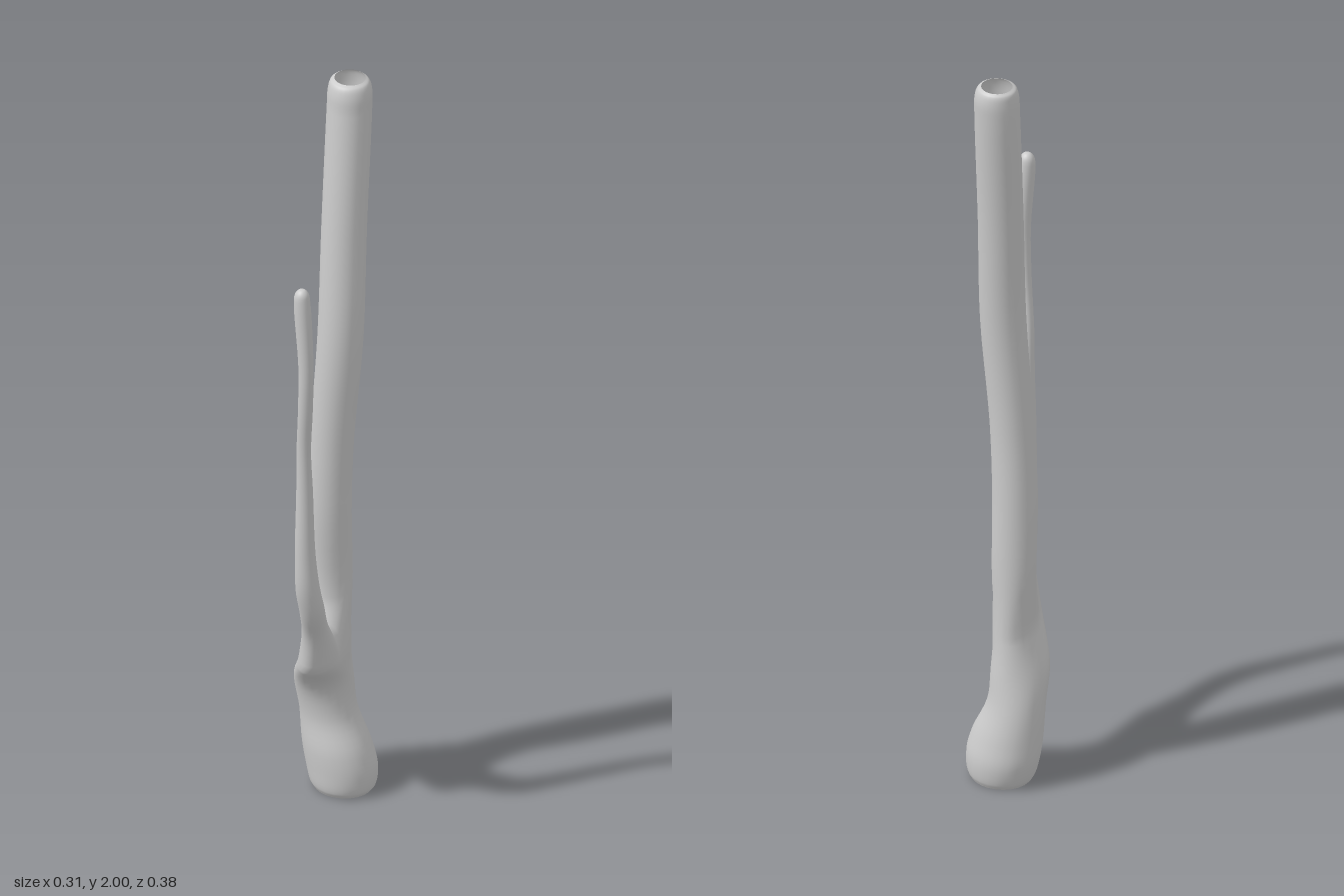
import * as THREE from 'three';
import { mergeVertices } from 'three/addons/utils/BufferGeometryUtils.js';

const N = 24;          // points around each ring
const STEPS = 5;       // smooth steps between rings
const A0 = 0.988;      // heading of the side branch, turning from +x to +z
const FORK = { x: -0.065, y: 0.42, z: -0.065 };

// horizontal ring: y, x range, z range, optional downward tilt towards the branch heading
function ring([y, x0, x1, z0, z1, tilt = 0]) {
  const pts = [];
  for (let i = 0; i < N; i++) {
    const a = (i / N) * Math.PI * 2;
    const rx = (x1 - x0) / 2, rz = (z1 - z0) / 2;
    pts.push(new THREE.Vector3(
      (x0 + x1) / 2 + rx * Math.cos(A0 + a),
      y - tilt * rx * Math.cos(a),
      (z0 + z1) / 2 + rz * Math.sin(A0 + a)));
  }
  return pts;
}

// point at the fork: u along the branch heading, v across it
function forkPoint(u, v, y) {
  const c = Math.cos(A0), s = Math.sin(A0);
  return new THREE.Vector3(FORK.x + u * c - v * s, y, FORK.z + u * s + v * c);
}

// oval where the stem divides, and the saddle arch between the two arms
function forkRings() {
  const oval = [], trunk = [], branch = [];
  for (let i = 0; i < N; i++) {
    const a = (i / N) * Math.PI * 2, c = Math.cos(a), s = Math.sin(a);
    const onBranch = i <= N / 4 || i >= N * 3 / 4;
    const onTrunk = i >= N / 4 && i <= N * 3 / 4;
    const bulge = onTrunk ? 0.05 + 0.022 * Math.abs(c) : 0.05;
    const edge = forkPoint(0.08 + (onTrunk ? 0.14 : 0.095) * c, bulge * s, FORK.y);
    const saddle = forkPoint(0.08, 0.05 * s, FORK.y + 0.085 * Math.abs(c));
    oval.push(edge);
    trunk.push(onTrunk ? edge : saddle);
    branch.push(onBranch ? edge : saddle);
  }
  return { oval, trunk, branch };
}

// skin through the rings, each column following a smooth curve
function loft(rings, positions, indices) {
  const base = positions.length / 3;
  const rows = (rings.length - 1) * STEPS;
  const columns = rings[0].map((_, i) => new THREE.CatmullRomCurve3(rings.map(r => r[i])));
  for (let j = 0; j <= rows; j++) {
    for (let i = 0; i < N; i++) {
      const p = columns[i].getPoint(j / rows);
      positions.push(p.x, p.y, p.z);
      if (j === rows) continue;
      const a = base + j * N + i, b = base + j * N + (i + 1) % N;
      indices.push(a, a + N, b, b, a + N, b + N);
    }
  }
}

export function createModel() {
  const fork = forkRings();
  const positions = [], indices = [];

  // swollen open foot up to the fork
  loft([
    [0.005, -0.13, 0.025, -0.165, -0.02],
    [0.02, -0.14, 0.035, -0.172, -0.012],
    [0.07, -0.155, 0.04, -0.176, -0.005],
    [0.13, -0.16, 0.028, -0.165, 0],
    [0.22, -0.16, -0.01, -0.143, 0],
    [0.32, -0.147, -0.012, -0.13, 0.025],
  ].map(ring).concat([fork.oval]), positions, indices);

  // main stem, open at the top
  loft([fork.trunk].concat([
    [0.57, -0.125, -0.015, -0.12, -0.01],
    [0.8, -0.125, -0.01, -0.115, -0.004],
    [1.0, -0.115, -0.003, -0.116, -0.008],
    [1.3, -0.101, 0.014, -0.134, -0.02],
    [1.6, -0.115, 0, -0.155, -0.043],
    [1.92, -0.134, -0.02, -0.186, -0.074],
    [1.97, -0.134, -0.023, -0.188, -0.078],
    [1.993, -0.13, -0.031, -0.182, -0.086],
    [2.0, -0.121, -0.042, -0.174, -0.097],
  ].map(ring)), positions, indices);

  // slender side branch with a rounded tip
  loft([fork.branch].concat([
    [0.55, 0.01, 0.076, 0.035, 0.1, 0.6],
    [0.64, 0.049, 0.111, 0.075, 0.136, 0.45],
    [0.71, 0.062, 0.121, 0.096, 0.157, 0.15],
    [0.82, 0.07, 0.121, 0.112, 0.163],
    [1.0, 0.079, 0.121, 0.122, 0.163],
    [1.12, 0.087, 0.126, 0.133, 0.167],
    [1.25, 0.106, 0.144, 0.141, 0.177],
    [1.38, 0.115, 0.154, 0.146, 0.183],
    [1.57, 0.105, 0.146, 0.15, 0.19],
    [1.589, 0.109, 0.142, 0.154, 0.186],
    [1.598, 0.117, 0.134, 0.162, 0.178],
    [1.6, 0.1255, 0.1255, 0.17, 0.17],
  ].map(ring)), positions, indices);

  // weld the shared edges so the fork shades smoothly
  let geometry = new THREE.BufferGeometry();
  geometry.setAttribute('position', new THREE.Float32BufferAttribute(positions, 3));
  geometry.setIndex(indices);
  geometry = mergeVertices(geometry, 1e-5);
  geometry.computeVertexNormals();

  const stem = new THREE.Mesh(geometry, new THREE.MeshStandardMaterial({
    color: 0xcccccc, side: THREE.DoubleSide,
  }));
  stem.name = 'forkedStem';
  const group = new THREE.Group();
  group.name = 'forkedStick';
  group.add(stem);
  return group;
}
